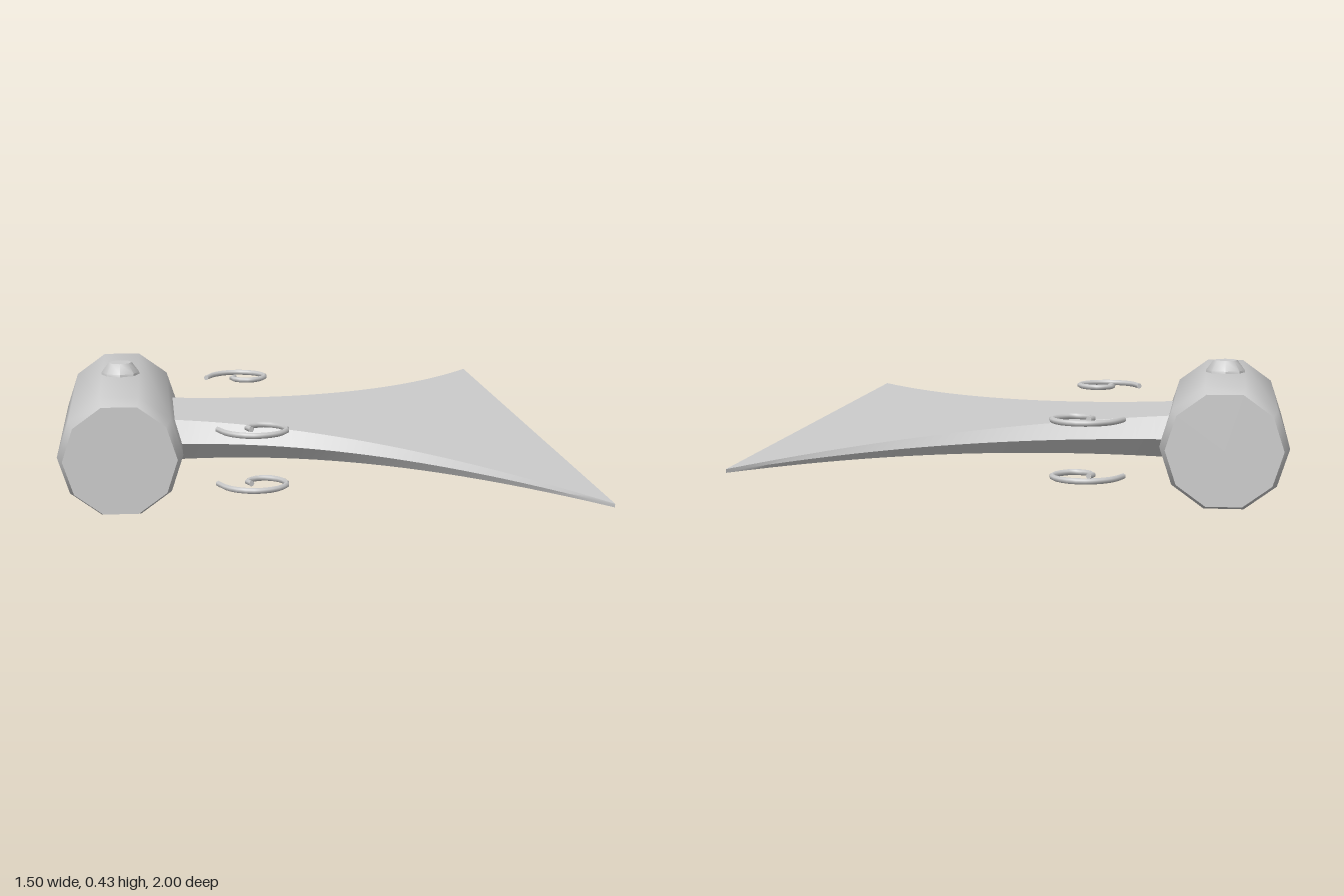
import * as THREE from 'three';
import { toCreasedNormals } from 'three/addons/utils/BufferGeometryUtils.js';

const MID_Y = 0.217;   // height of the horizontal symmetry plane
const MID_Z = -0.073;  // middle of the poll along its length

const steel = new THREE.MeshStandardMaterial({ color: 0xcccccc });
steel.name = 'steel';

function addMesh(parent, name, geometry) {
  const mesh = new THREE.Mesh(geometry, steel);
  mesh.name = name;
  parent.add(mesh);
  return mesh;
}

// Turned solid with smooth sides and sharp end faces
function turned(profile, sides) {
  const points = profile.map(([r, y]) => new THREE.Vector2(r, y));
  return toCreasedNormals(new THREE.LatheGeometry(points, sides), 0.7);
}

// Six-sided cross-sections flaring from the socket to a thin cutting edge
function bladeGeometry() {
  const startX = -0.41, endX = 0.745, steps = 24;
  const v2 = (x, z) => new THREE.Vector2(x, z);
  const back = new THREE.QuadraticBezierCurve(v2(startX, -0.312), v2(0.27, -0.312), v2(endX, -1));
  const front = new THREE.QuadraticBezierCurve(v2(startX, 0.166), v2(0.2, 0.166), v2(endX, 1));
  const positions = [], index = [];
  for (let i = 0; i <= steps; i++) {
    const b = back.getPoint(i / steps), f = front.getPoint(i / steps);
    const ring = [[b, 1, 1], [b, 0, 1], [b, -1, 1], [f, -1, -1], [f, 0, -1], [f, 1, -1]];
    for (const [p, level, inward] of ring) {
      const taper = (endX - p.x) / (endX - startX);
      const inset = level === 0 ? 0 : 0.063 * taper * inward;
      positions.push(p.x, MID_Y + level * (0.005 + 0.059 * taper), p.y + inset);
    }
  }
  for (let i = 0; i < steps; i++) {
    for (let j = 0; j < 6; j++) {
      const a = i * 6 + j, b = i * 6 + (j + 1) % 6;
      index.push(a, a + 6, b + 6, a, b + 6, b);
    }
  }
  const last = steps * 6;
  for (let j = 1; j < 5; j++) {
    index.push(0, j, j + 1, last, last + j + 1, last + j);
  }
  const geometry = new THREE.BufferGeometry();
  geometry.setAttribute('position', new THREE.Float32BufferAttribute(positions, 3));
  geometry.setIndex(index);
  return toCreasedNormals(geometry, 0.5);
}

// Curled wire with closed ends; side is +1 for front, -1 for back
function makeScroll(side, level) {
  const path = [
    [-0.272, 0.417], [-0.245, 0.474], [-0.205, 0.506], [-0.155, 0.516], [-0.1, 0.495],
    [-0.067, 0.442], [-0.082, 0.39], [-0.125, 0.36], [-0.165, 0.373], [-0.183, 0.402], [-0.172, 0.428],
  ];
  const curve = new THREE.CatmullRomCurve3(path.map(([x, z]) =>
    new THREE.Vector3(x, MID_Y + level * 0.083, MID_Z + side * z)));
  const scroll = new THREE.Group();
  scroll.name = (side > 0 ? 'front' : 'back') + (level > 0 ? 'Upper' : 'Lower') + 'Scroll';
  addMesh(scroll, 'scrollWire', new THREE.TubeGeometry(curve, 20, 0.009, 6));
  for (const t of [0, 1]) {
    const cap = addMesh(scroll, 'scrollEnd', new THREE.CircleGeometry(0.009, 6));
    const outward = curve.getTangent(t).multiplyScalar(t ? 1 : -1);
    cap.position.copy(curve.getPoint(t));
    cap.quaternion.setFromUnitVectors(new THREE.Vector3(0, 0, 1), outward);
  }
  return scroll;
}

export function createModel() {
  const model = new THREE.Group();
  model.name = 'axeHead';

  // Ten-sided barrel with chamfered ends, lying along z
  const poll = addMesh(model, 'poll', turned(
    [[0, -0.449], [0.17, -0.449], [0.188, -0.387], [0.188, 0.387], [0.17, 0.449], [0, 0.449]], 10));
  poll.geometry.rotateY(Math.PI / 2);
  poll.geometry.rotateX(Math.PI / 2);
  poll.position.set(-0.562, MID_Y, MID_Z);

  addMesh(model, 'blade', bladeGeometry());

  for (const level of [1, -1]) {
    // Octagonal stud above and below the barrel
    const stud = addMesh(model, level > 0 ? 'upperStud' : 'lowerStud', turned(
      [[0, 0.165], [0.06, 0.165], [0.06, 0.186], [0.037, 0.217], [0, 0.217]], 8));
    stud.position.set(-0.562, MID_Y, MID_Z);
    if (level < 0) stud.rotation.x = Math.PI;
    for (const side of [1, -1]) model.add(makeScroll(side, level));
  }
  return model;
}
